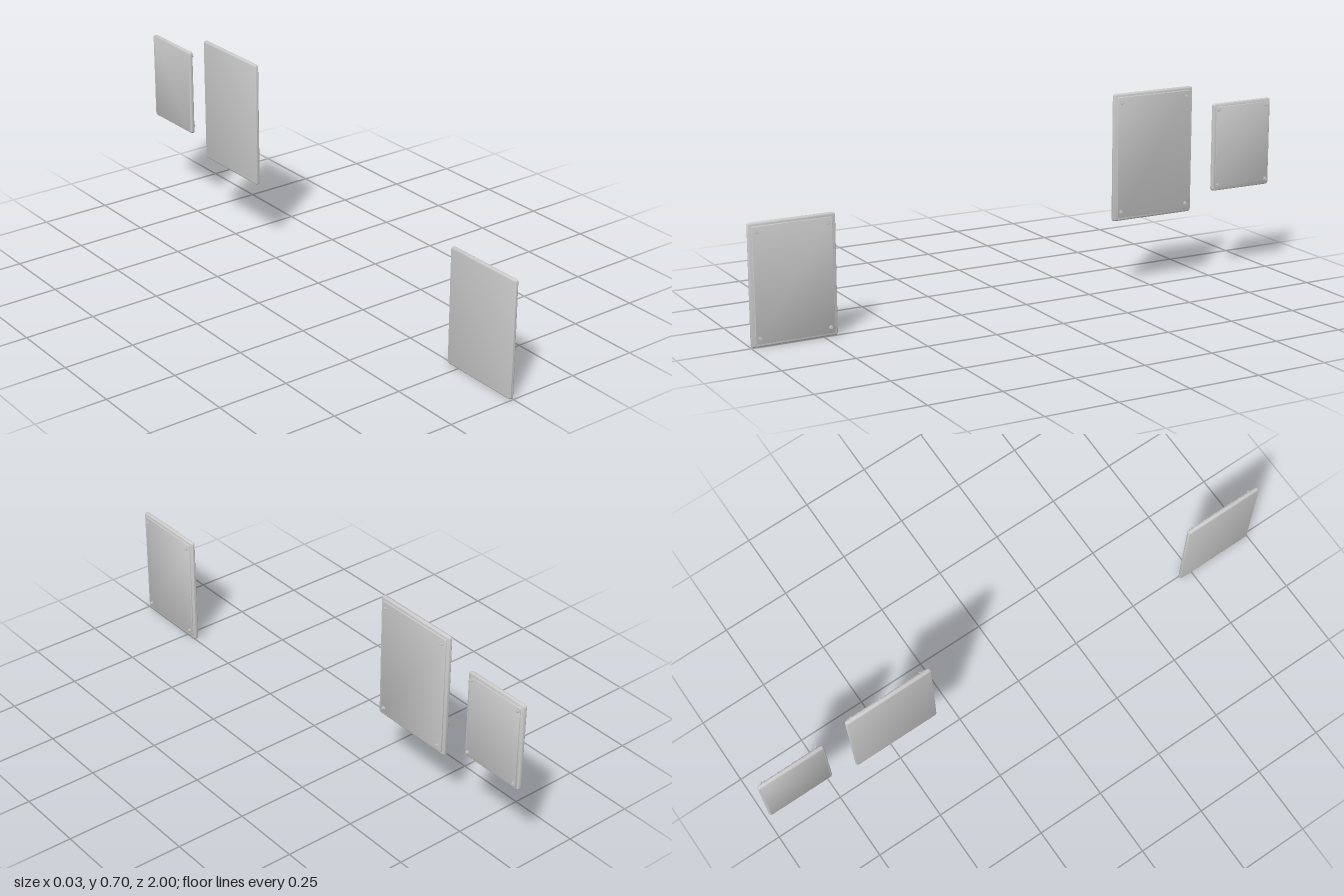
import * as THREE from 'three';
import { toCreasedNormals } from 'three/addons/utils/BufferGeometryUtils.js';

const material = new THREE.MeshStandardMaterial({ color: 0xcccccc });

// Rounded rectangle slab facing +x, from x0 to x1, with rounded edges
function slab(name, width, height, x0, x1, corner, bevel) {
  const w = width / 2 - bevel, h = height / 2 - bevel;
  const r = Math.max(corner - bevel, 0.001);
  const s = new THREE.Shape();
  s.absarc(w - r, h - r, r, 0, Math.PI / 2);
  s.absarc(-w + r, h - r, r, Math.PI / 2, Math.PI);
  s.absarc(-w + r, -h + r, r, Math.PI, Math.PI * 1.5);
  s.absarc(w - r, -h + r, r, Math.PI * 1.5, Math.PI * 2);
  const geo = new THREE.ExtrudeGeometry(s, {
    depth: x1 - x0 - 2 * bevel, bevelEnabled: true,
    bevelSize: bevel, bevelThickness: bevel, bevelSegments: 4, curveSegments: 6,
  });
  geo.translate(0, 0, x0 + bevel);
  geo.rotateY(Math.PI / 2);
  const mesh = new THREE.Mesh(toCreasedNormals(geo, 0.6), material);
  mesh.name = name;
  return mesh;
}

// Disc whose axis runs along x
function disc(name, radius, x0, x1) {
  const geo = new THREE.CylinderGeometry(radius, radius, x1 - x0, 16);
  geo.rotateZ(-Math.PI / 2);
  geo.translate((x0 + x1) / 2, 0, 0);
  const mesh = new THREE.Mesh(geo, material);
  mesh.name = name;
  return mesh;
}

// Small fixing: washer on the backing, thin stem and cap
function fixing() {
  const g = new THREE.Group();
  g.name = 'fixing';
  g.add(
    disc('washer', 0.007, 0.006, 0.0066),
    disc('stem', 0.002, 0.006, 0.0095),
    disc('cap', 0.0045, 0.009, 0.013),
  );
  return g;
}

// One wall panel: rounded board, raised backing and four corner fixings
function wallPanel({ name, z0, z1, y0, y1, inset }) {
  const width = z1 - z0, height = y1 - y0;
  const g = new THREE.Group();
  g.name = name;
  g.add(slab('board', width, height, -0.013, 0.0025, 0.01, 0.0065));
  g.add(slab('backing', width - 0.024, height - 0.024, 0, 0.0062, 0.006, 0.0015));
  for (const sy of [-1, 1]) for (const sz of [-1, 1]) {
    const f = fixing();
    f.position.set(0, sy * (height / 2 - inset), sz * (width / 2 - inset + 0.004));
    g.add(f);
  }
  g.position.set(0, (y0 + y1) / 2, (z0 + z1) / 2);
  return g;
}

export function createModel() {
  const model = new THREE.Group();
  model.name = 'wallPanels';
  [
    { name: 'frontPanel', z0: 0.7, z1: 1, y0: 0, y1: 0.411, inset: 0.032 },
    { name: 'largePanel', z0: -0.665, z1: -0.343, y0: 0.249, y1: 0.698, inset: 0.033 },
    { name: 'smallPanel', z0: -1, z1: -0.755, y0: 0.31, y1: 0.626, inset: 0.023 },
  ].forEach((p) => model.add(wallPanel(p)));
  return model;
}
